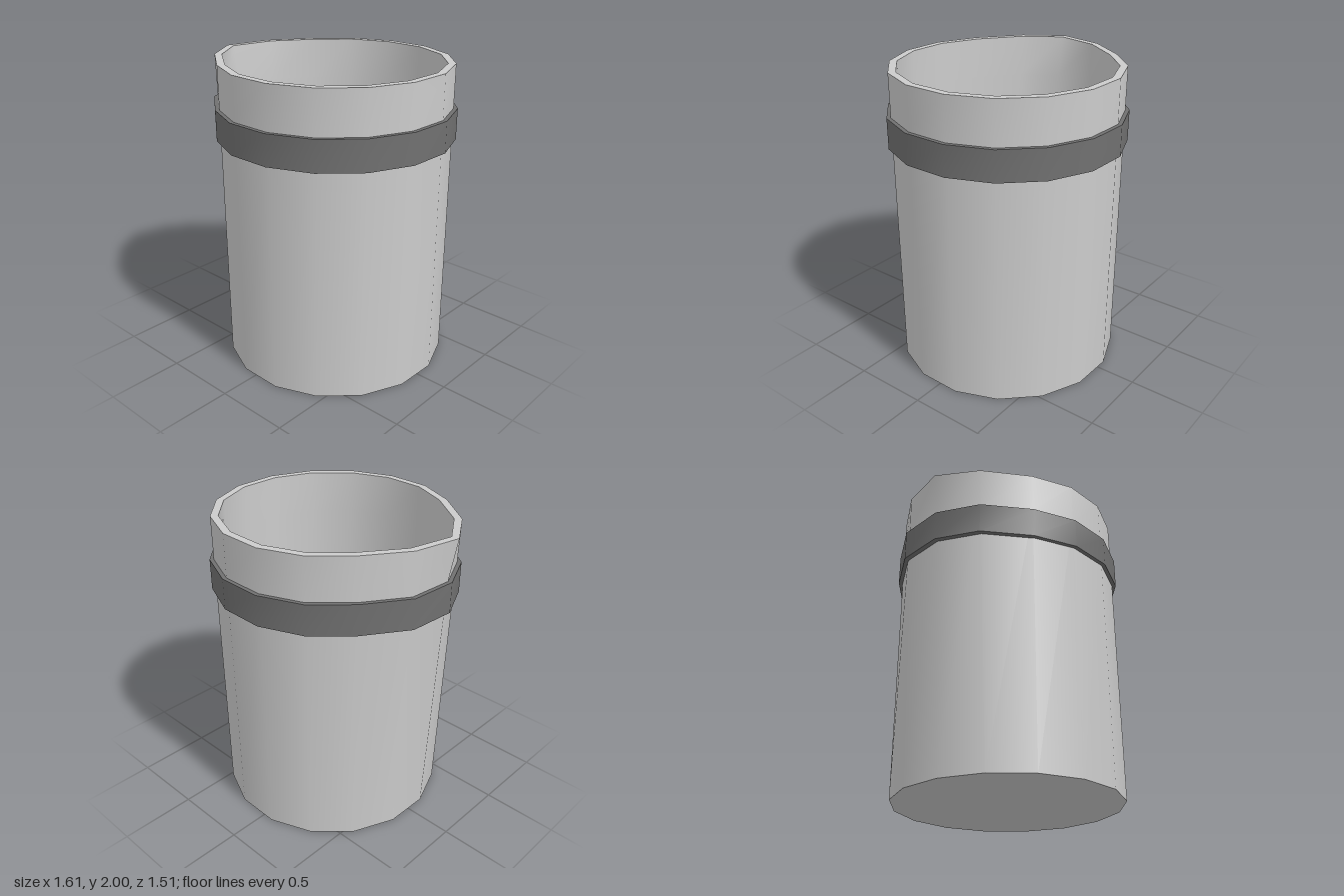
import * as THREE from 'three';
import { toCreasedNormals } from 'three/addons/utils/BufferGeometryUtils.js';

const SIDES = 16;
const CENTRE_X = 0.055;
const TURN = THREE.MathUtils.degToRad(-10.15);

// Outward pull of the three corners under the lip: [at the collar, at the rim]
const PULL = { 7: [0.06, 0.07], 8: [0.08, 0.128], 9: [0.063, 0.068] };
const COLLAR_Y = 1.73;
const RIM_Y = 2;

function pullAt(k, y) {
  if (!PULL[k]) return 0;
  const [mid, top] = PULL[k];
  if (y <= COLLAR_Y) return mid * y / COLLAR_Y;
  return THREE.MathUtils.lerp(mid, top, (y - COLLAR_Y) / (RIM_Y - COLLAR_Y));
}

// Sweep a profile of [radius, y, height used for the pull] round the axis
function loft(profile, closed = false) {
  const positions = [];
  const index = [];
  for (const [r, y, pullY = y] of profile) {
    for (let k = 0; k < SIDES; k++) {
      const a = TURN + k * Math.PI * 2 / SIDES;
      const pull = r > 0 ? pullAt(k, pullY) : 0;
      // the tip of the lip also swings slightly forward
      const swing = k === 8 ? pull * 0.12 : 0;
      positions.push(CENTRE_X + r * Math.cos(a) - pull, y, r * Math.sin(a) + swing);
    }
  }
  const n = profile.length;
  for (let i = 0; i < (closed ? n : n - 1); i++) {
    const j = (i + 1) % n;
    for (let k = 0; k < SIDES; k++) {
      const k2 = (k + 1) % SIDES;
      const a = i * SIDES + k, b = i * SIDES + k2;
      const c = j * SIDES + k, d = j * SIDES + k2;
      if (profile[i][0] > 0) index.push(a, c, b);
      if (profile[j][0] > 0) index.push(b, c, d);
    }
  }
  const geometry = new THREE.BufferGeometry();
  geometry.setAttribute('position', new THREE.Float32BufferAttribute(positions, 3));
  geometry.setIndex(index);
  return toCreasedNormals(geometry, THREE.MathUtils.degToRad(55));
}

function part(name, geometry, color) {
  const mesh = new THREE.Mesh(geometry, new THREE.MeshStandardMaterial({ color }));
  mesh.name = name;
  return mesh;
}

export function createModel() {
  const group = new THREE.Group();
  group.name = 'beaker';

  // Hollow cup with a pouring lip: base, outer wall, rim, inner wall, floor
  const outer = 0.742, inner = 0.693, floorY = 0.05;
  group.add(part('cup', loft([
    [0, 0], [outer, 0], [outer, COLLAR_Y], [outer, RIM_Y],
    [inner, RIM_Y], [inner, COLLAR_Y], [inner, floorY, 0], [0, floorY, 0],
  ]), 0xcccccc));

  // Dark band round the neck, upright and following the cup's outline
  const band = 0.768, under = 0.735, low = 1.52, high = 1.72;
  group.add(part('band', loft([
    [under, low, COLLAR_Y], [band, low, COLLAR_Y],
    [band, high, COLLAR_Y], [under, high, COLLAR_Y],
  ], true), 0x707070));

  return group;
}
